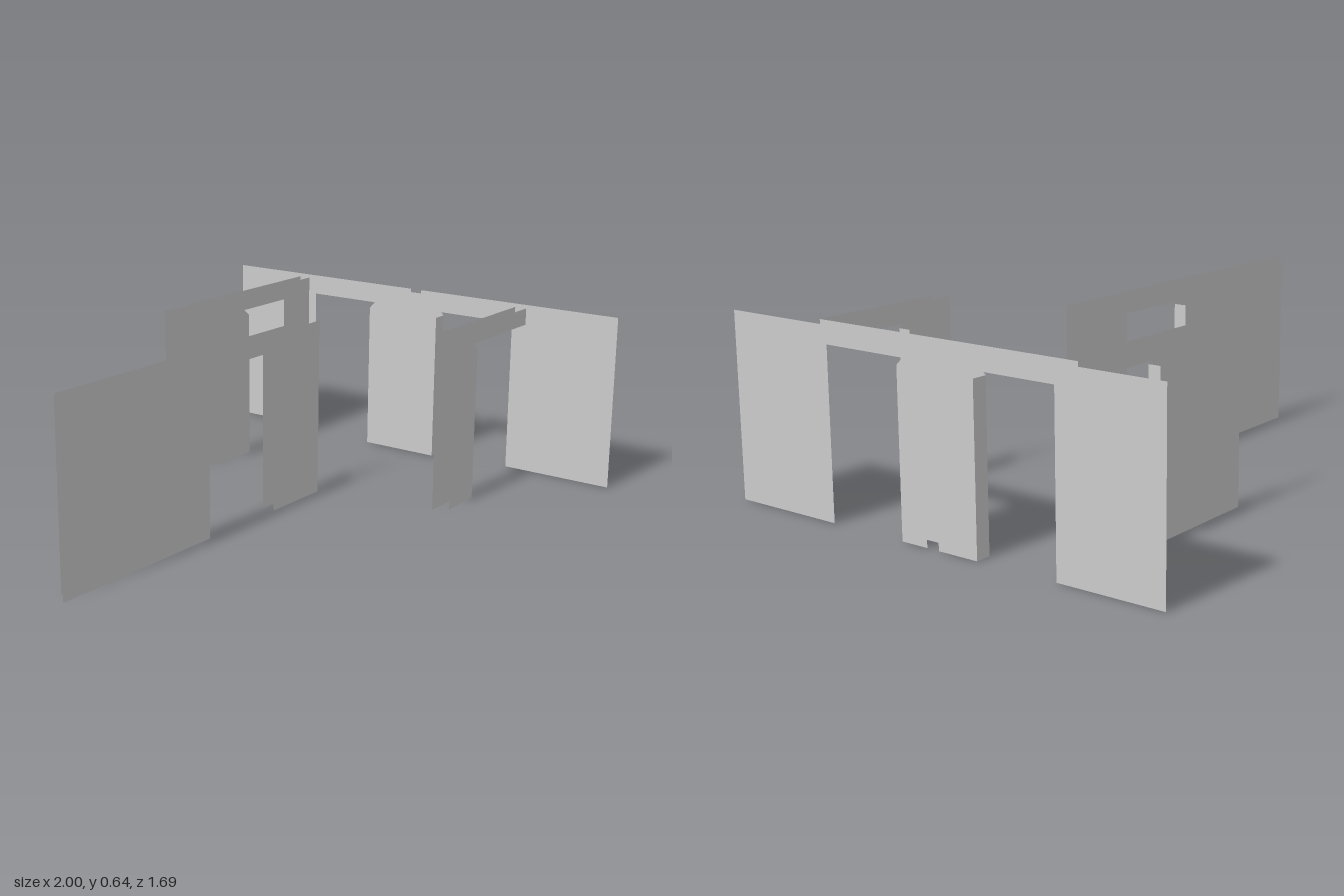
import * as THREE from 'three';

const H = 0.636;      // wall height
const HEAD = 0.575;   // underside of door headers
const NOTCH = 0.55;   // where the splayed door corner starts

const skin = new THREE.MeshStandardMaterial({ color: 0xcccccc, side: THREE.DoubleSide });
const under = new THREE.MeshStandardMaterial({ color: 0xcccccc });

// One thin wall skin from u0 to u1; a door has jambs a, b and head corners ha, hb
function wallSkin(u0, u1, doors) {
  const pts = [[u0, 0]];
  for (const { a, b, ha = a, hb = b } of doors)
    pts.push([a, 0], [a, NOTCH], [ha, HEAD], [hb, HEAD], [b, NOTCH], [b, 0]);
  pts.push([u1, 0], [u1, H], [u0, H]);
  const clean = pts.filter((p, i) => i === 0 || p[0] !== pts[i - 1][0] || p[1] !== pts[i - 1][1]);
  return new THREE.ShapeGeometry(new THREE.Shape(clean.map(p => new THREE.Vector2(...p))));
}

// A wall along local x: two skins plus soffits and the one closed jamb of each door
function makeWall(name, skins, doors) {
  const wall = new THREE.Group();
  wall.name = name;
  const add = (geometry, material, part) => {
    const mesh = new THREE.Mesh(geometry, material);
    mesh.name = part;
    wall.add(mesh);
  };
  for (const s of skins)
    for (const [u0, u1, d] of s.pieces)
      add(wallSkin(u0, u1, d).translate(0, 0, s.depth), skin, 'wallSkin');

  const depths = skins.map(s => s.depth);
  const mid = (depths[0] + depths[1]) / 2;
  const thick = Math.abs(depths[0] - depths[1]);
  for (const { a, b, ha = a, hb = b } of doors) {
    add(new THREE.PlaneGeometry(hb - ha, thick).rotateX(Math.PI / 2)
      .translate((ha + hb) / 2, HEAD, mid), under, 'doorSoffit');
    const jamb = ha !== a ? a : b;
    add(new THREE.PlaneGeometry(thick, NOTCH).rotateY(Math.PI / 2)
      .translate(jamb, NOTCH / 2, mid), skin, 'doorJamb');
  }
  return wall;
}

export function createModel() {
  const model = new THREE.Group();
  model.name = 'partitionWalls';

  // Long middle wall
  const midDoor = { a: -0.3, b: 0.052, ha: -0.33 };
  model.add(makeWall('middleWall', [
    { depth: 0.027, pieces: [[-1, 0.32, [midDoor]]] },
    { depth: -0.02, pieces: [[-0.96, 0.276, [midDoor]]] },
  ], [midDoor]));

  // Short front wall, its door reaching the side wall
  const frontDoor = { a: 0.597, b: 0.945, ha: 0.567 };
  model.add(makeWall('frontWall', [
    { depth: 0.51, pieces: [[0.44, 0.945, [frontDoor]]] },
    { depth: 0.465, pieces: [[0.4, 0.945, [frontDoor]]] },
  ], [frontDoor]));

  // Back wall
  const backDoor = { a: 0.55, b: 0.835, ha: 0.52 };
  model.add(makeWall('backWall', [
    { depth: -0.465, pieces: [[0.32, 0.945, [backDoor]]] },
    { depth: -0.51, pieces: [[0.11, 0.945, [backDoor]]] },
  ], [backDoor]));

  // Side wall, built along x and turned to run front to back
  const doorF = { a: -0.425, b: -0.13, hb: -0.105 };
  const doorB = { a: 0.172, b: 0.47, ha: 0.15 };
  const side = makeWall('sideWall', [
    { depth: 1, pieces: [[-0.847, -0.027, [doorF]], [0.02, 0.847, [doorB]]] },
    { depth: 0.945, pieces: [[-0.51, 0.51, [{ ...doorF, a: -0.51 }, { ...doorB, b: 0.51 }]]] },
  ], [doorF, doorB]);
  side.rotation.y = Math.PI / 2;
  model.add(side);

  return model;
}
